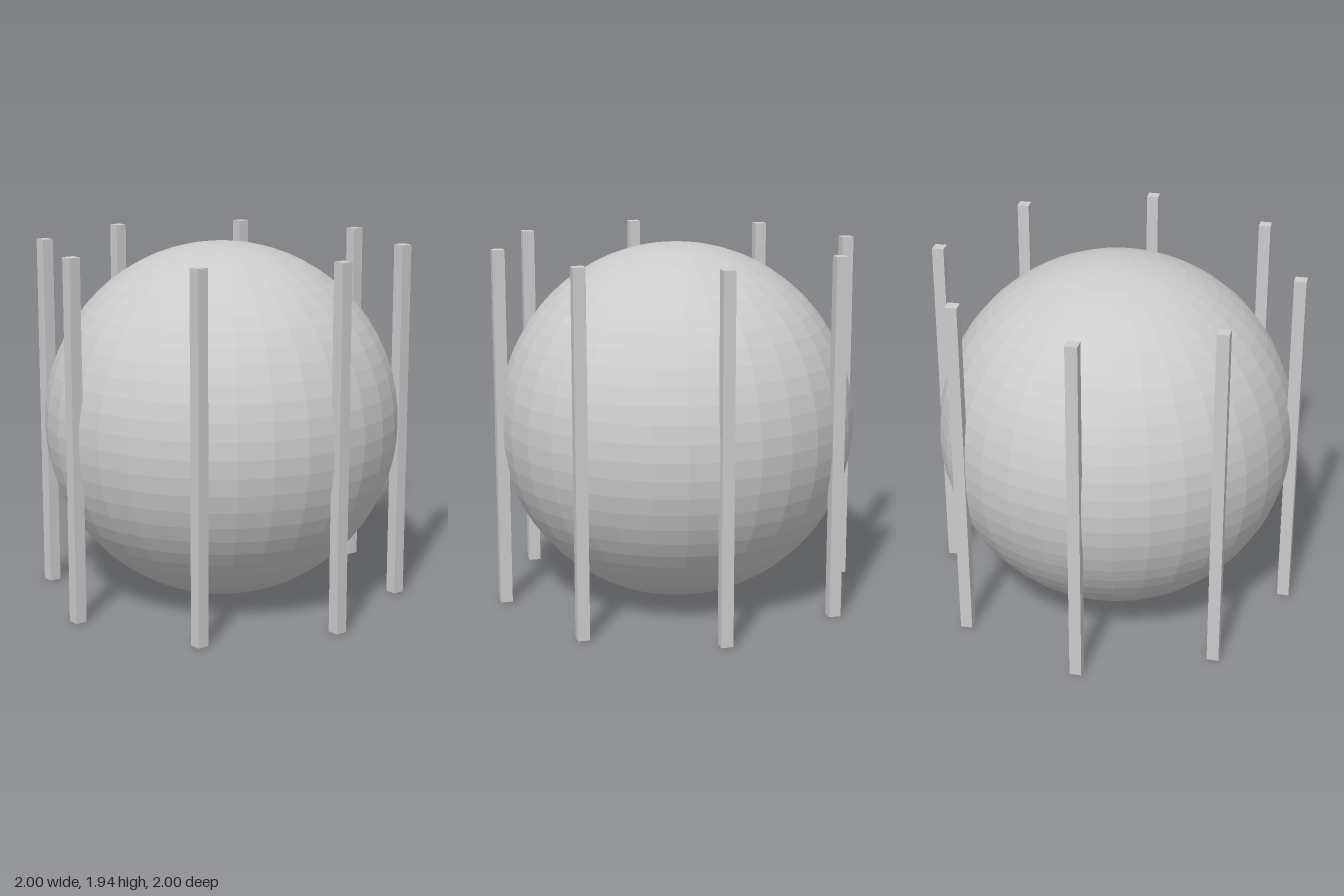
import * as THREE from 'three';

export function createModel() {
  const group = new THREE.Group();
  const material = new THREE.MeshStandardMaterial({ color: 0xcccccc, flatShading: true });
  const radius = 0.968;
  const postWidth = 0.064;
  const postCount = 8;

  // Faceted ball resting on the ground
  const ball = new THREE.Mesh(new THREE.SphereGeometry(radius, 32, 32), material);
  ball.name = 'ball';
  ball.position.y = radius;
  group.add(ball);

  // Ring of square posts centred on the ball's equator, all kept parallel to the axes
  const postGeometry = new THREE.BoxGeometry(postWidth, radius * 2, postWidth);
  for (let i = 0; i < postCount; i++) {
    const angle = (i / postCount) * Math.PI * 2;
    const post = new THREE.Mesh(postGeometry, material);
    post.name = `post${i + 1}`;
    post.position.set(Math.cos(angle) * radius, radius, Math.sin(angle) * radius);
    group.add(post);
  }

  return group;
}
